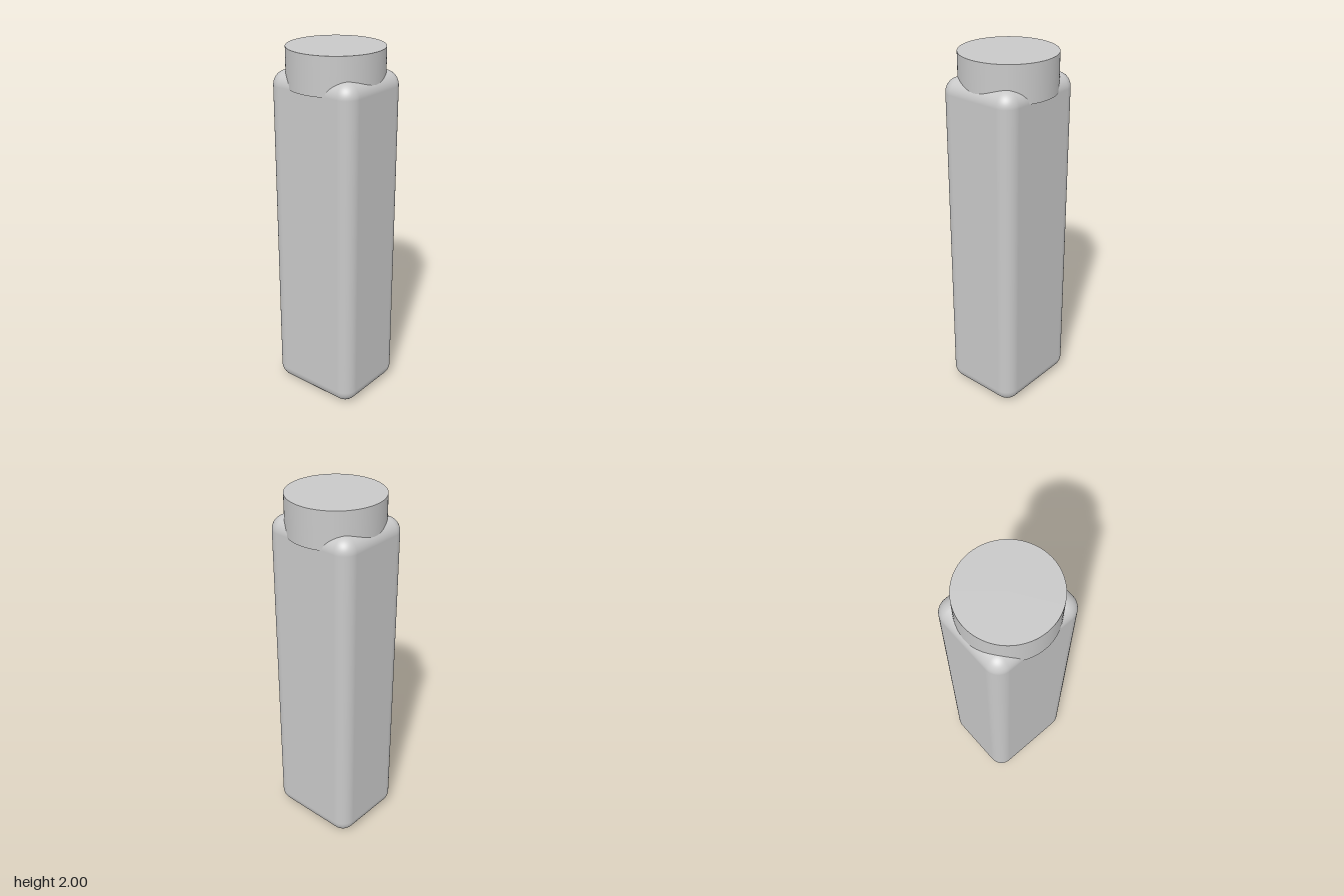
import * as THREE from 'three';
import { RoundedBoxGeometry } from 'three/addons/geometries/RoundedBoxGeometry.js';

const BODY = { width: 0.544, height: 1.875, depth: 0.466, radius: 0.08 };
const CAP = { radius: 0.26, bottom: 1.795, top: 2 };

export function createModel() {
  const model = new THREE.Group();
  model.name = 'cappedBottle';

  const grey = new THREE.MeshStandardMaterial({ color: 0xc8c8c8 });
  grey.name = 'light grey';

  // Rectangular body with rounded edges, standing on y = 0
  const body = new THREE.Mesh(
    new RoundedBoxGeometry(BODY.width, BODY.height, BODY.depth, 8, BODY.radius),
    grey
  );
  body.name = 'body';
  body.position.y = BODY.height / 2;

  // Round cap sunk into the top, overhanging the front and back
  const cap = new THREE.Mesh(
    new THREE.CylinderGeometry(CAP.radius, CAP.radius, CAP.top - CAP.bottom, 96),
    grey
  );
  cap.name = 'cap';
  cap.position.y = (CAP.top + CAP.bottom) / 2;

  model.add(body, cap);
  return model;
}
